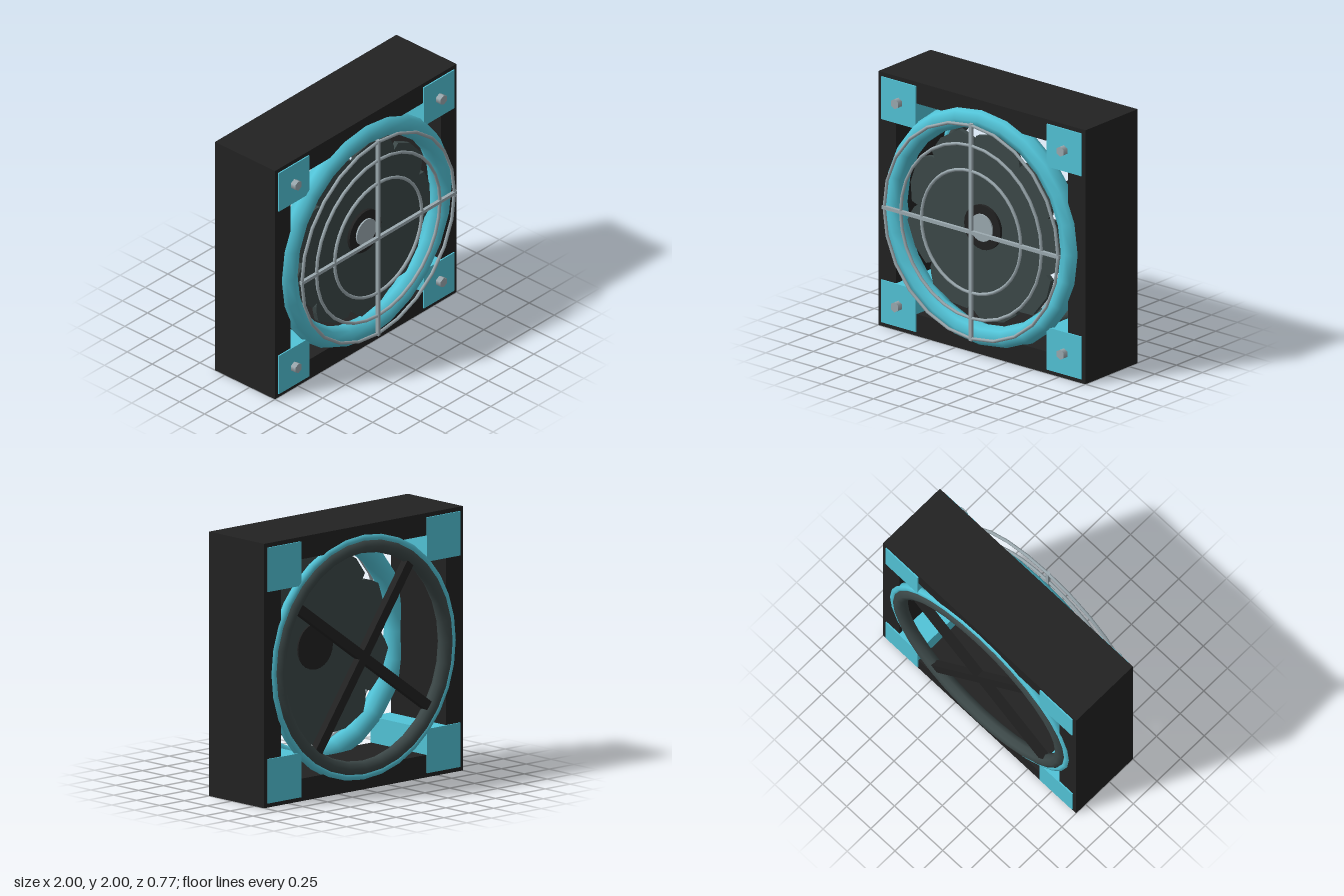
import * as THREE from 'three';

const mat = (name, color, extra = {}) => {
  const m = new THREE.MeshStandardMaterial({ color, ...extra });
  m.name = name;
  return m;
};

export function createModel() {
  const black = mat('black plastic', 0x222222);
  const cyan = mat('cyan plastic', 0x52c4d8);
  const slate = mat('slate blades', 0x3c4848);
  const steel = mat('steel', 0x9caab0);

  const model = new THREE.Group();
  model.name = 'fan';
  const fan = new THREE.Group(); // everything is built around the fan axis
  fan.name = 'fanAssembly';
  fan.position.y = 1;
  model.add(fan);

  const add = (name, geometry, material, x = 0, y = 0, z = 0) => {
    const mesh = new THREE.Mesh(geometry, material);
    mesh.name = name;
    mesh.position.set(x, y, z);
    fan.add(mesh);
    return mesh;
  };
  const disc = (r, depth, sides) =>
    new THREE.CylinderGeometry(r, r, depth, sides).rotateX(Math.PI / 2);

  // Square housing with a square opening
  const square = (Class, h) => new Class([
    new THREE.Vector2(-h, -h), new THREE.Vector2(h, -h),
    new THREE.Vector2(h, h), new THREE.Vector2(-h, h)]);
  const outline = square(THREE.Shape, 1);
  outline.holes.push(square(THREE.Path, 0.83));
  add('frame', new THREE.ExtrudeGeometry(outline, { depth: 0.6, bevelEnabled: false }),
    black, 0, 0, -0.35);

  // Corner pads running through the housing, with hex screws on the front
  for (const sx of [-1, 1]) {
    for (const sy of [-1, 1]) {
      add('cornerPad', new THREE.BoxGeometry(0.335, 0.335, 0.62), cyan, sx * 0.8, sy * 0.8, -0.05);
      add('screw', disc(0.04, 0.05, 6), steel, sx * 0.8, sy * 0.8, 0.28);
    }
  }

  // Front and rear rings
  add('frontRing', new THREE.TorusGeometry(0.85, 0.085, 8, 24), cyan, 0, 0, 0.225);
  add('rearTrimRing', new THREE.TorusGeometry(0.9, 0.033, 8, 32), cyan, 0, 0, -0.333);
  add('rearRing', new THREE.TorusGeometry(0.84, 0.055, 8, 32), slate, 0, 0, -0.332);

  // Rear struts, turned off the diagonal
  for (const turn of [0, 1]) {
    const strut = add('rearStrut', new THREE.BoxGeometry(1.62, 0.075, 0.06), black, 0, 0, -0.335);
    strut.rotation.z = 0.615 + turn * Math.PI / 2;
  }

  // Rotor: nine overlapping blades as [degrees clockwise from the notch, radius]
  const blade = [[0, 0.645], [1.5, 0.7], [13, 0.735], [29, 0.75], [34, 0.71], [38, 0.675]];
  const points = [];
  for (let i = 0; i < 9; i++) {
    for (const [deg, r] of blade) {
      const a = THREE.MathUtils.degToRad(98 - i * 40 - deg);
      points.push(new THREE.Vector2(r * Math.cos(a), r * Math.sin(a)));
    }
  }
  add('blades', new THREE.ExtrudeGeometry(new THREE.Shape(points),
    { depth: 0.04, bevelEnabled: false }), slate, 0, 0, 0.185);
  add('hub', disc(0.175, 0.075, 24), black, 0, 0, 0.21);
  add('hubCap', disc(0.107, 0.02, 24), steel, 0, 0, 0.25);

  // Wire guard
  for (const [r, sides] of [[0.84, 24], [0.68, 32], [0.48, 40]]) {
    add('guardRing', new THREE.TorusGeometry(r, 0.013, 6, sides), steel, 0, 0, 0.375);
  }
  add('guardBarAcross', new THREE.BoxGeometry(1.71, 0.026, 0.026), steel, 0, 0, 0.375);
  add('guardBarUpright', new THREE.BoxGeometry(0.026, 1.71, 0.026), steel, 0, 0, 0.375);

  return model;
}
